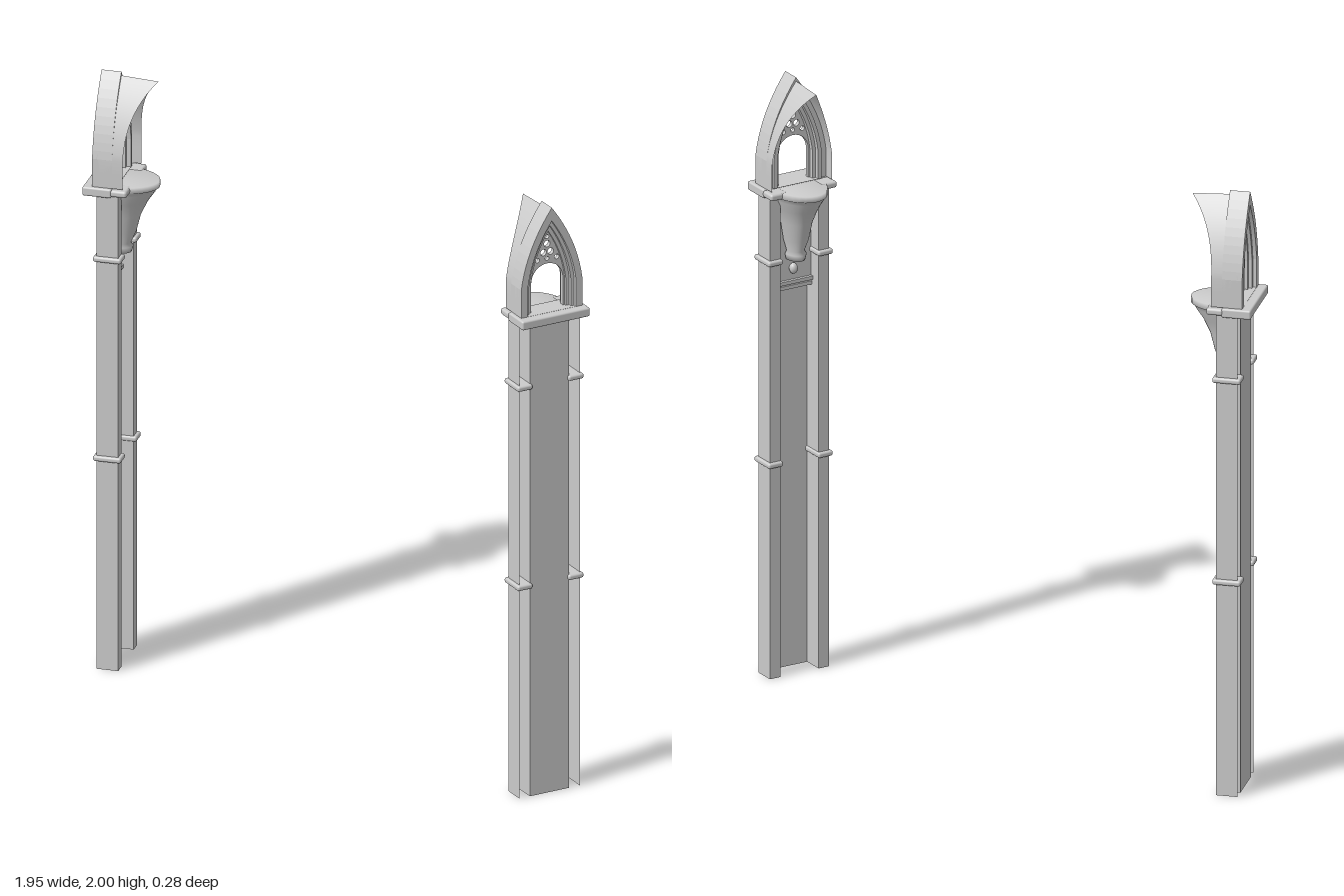
import * as THREE from 'three';
import { mergeGeometries } from 'three/addons/utils/BufferGeometryUtils.js';
import { RoundedBoxGeometry } from 'three/addons/geometries/RoundedBoxGeometry.js';

const mat = new THREE.MeshStandardMaterial({ color: 0xcccccc, side: THREE.DoubleSide });
const BASE = 1.645; // top of the ledge, where the arch stands

function add(parent, name, geometry, x = 0, y = 0, z = 0) {
  const mesh = new THREE.Mesh(geometry, mat);
  mesh.name = name;
  mesh.position.set(x, y, z);
  parent.add(mesh);
  return mesh;
}

// Box given by its ranges
function block(parent, name, x0, x1, y0, y1, z0, z1, round = 0) {
  const size = [x1 - x0, y1 - y0, z1 - z0];
  const geo = round ? new RoundedBoxGeometry(...size, 2, round) : new THREE.BoxGeometry(...size);
  return add(parent, name, geo, (x0 + x1) / 2, (y0 + y1) / 2, (z0 + z1) / 2);
}

// Upright sheet that follows a folded floor plan of [x, z] points
function foldedSheet(plan, y0, y1) {
  const walls = [];
  for (let i = 0; i < plan.length - 1; i++) {
    const [ax, az] = plan[i], [bx, bz] = plan[i + 1];
    const wall = new THREE.PlaneGeometry(Math.hypot(bx - ax, bz - az), y1 - y0);
    wall.rotateY(Math.atan2(az - bz, bx - ax));
    wall.translate((ax + bx) / 2, (y0 + y1) / 2, (az + bz) / 2);
    walls.push(wall);
  }
  return mergeGeometries(walls);
}

// Pointed arch outline
function pointedArch(w, apex, Type = THREE.Shape, base = BASE) {
  const spring = 1.74, mid = spring + (apex - spring) * 0.52;
  const s = new Type();
  s.moveTo(-w, base);
  s.lineTo(w, base);
  s.lineTo(w, spring);
  s.quadraticCurveTo(w * 0.84, mid, 0, apex);
  s.quadraticCurveTo(-w * 0.84, mid, -w, spring);
  s.closePath();
  return s;
}

function extrude(shape, z0, z1) {
  const geo = new THREE.ExtrudeGeometry(shape, { depth: z1 - z0, bevelEnabled: false, curveSegments: 10 });
  return geo.translate(0, 0, z0);
}

function archFrame(wOut, apexOut, wIn, apexIn, z0, z1) {
  const shape = pointedArch(wOut, apexOut);
  shape.holes.push(pointedArch(wIn, apexIn, THREE.Path, BASE + 0.0005));
  return extrude(shape, z0, z1);
}

// Plate pierced by a round-headed opening and small lights above it
function traceryGeometry() {
  const shape = pointedArch(0.068, 1.925);
  const door = new THREE.Path();
  door.moveTo(-0.057, BASE + 0.0005);
  door.lineTo(0.057, BASE + 0.0005);
  door.lineTo(0.057, 1.742);
  door.absarc(0, 1.742, 0.057, 0, Math.PI, false);
  door.closePath();
  shape.holes.push(door);
  const lights = [[0, 1.866, 0.011], [-0.013, 1.838, 0.011], [0.013, 1.838, 0.011], [0, 1.89, 0.007],
    [-0.035, 1.815, 0.008], [0.035, 1.815, 0.008], [0, 1.816, 0.007]];
  for (const [x, y, r] of lights) {
    const p = new THREE.Path();
    p.absarc(x, y, r, 0, Math.PI * 2, true);
    shape.holes.push(p);
  }
  return extrude(shape, -0.03, -0.016);
}

// Half of the vault: runs inwards from the arch and lengthens towards the crown
function vaultHalf(side) {
  const n = 14, rows = 8, geo = new THREE.PlaneGeometry(1, 1, rows, n), p = geo.attributes.position;
  const curve = new THREE.QuadraticBezierCurve(new THREE.Vector2(0.11, 1.74),
    new THREE.Vector2(0.0924, 1.872), new THREE.Vector2(0, 1.99));
  for (let i = 0; i <= n; i++) {
    const pt = i < 2 ? new THREE.Vector2(0.11, BASE + i * 0.05) : curve.getPoint((i - 2) / (n - 2));
    const end = -0.085 - 0.086 * Math.pow(1 - pt.x / 0.11, 1.5);
    for (let j = 0; j <= rows; j++) {
      p.setXYZ(i * (rows + 1) + j, side * pt.x, pt.y - 0.01 * j / rows * i / n, end * j / rows);
    }
  }
  // keep the front of both halves on the outside
  if (side > 0) {
    const idx = geo.index;
    for (let k = 0; k < idx.count; k += 3) {
      const a = idx.getX(k);
      idx.setX(k, idx.getX(k + 1));
      idx.setX(k + 1, a);
    }
  }
  geo.computeVertexNormals();
  return geo;
}

// One pillar: local z points outwards, z = 0 is the plane of the panel
function createPillar() {
  const g = new THREE.Group();
  g.name = 'pillar';
  const W = 0.109, F = 0.071, D = -0.07;

  // shaft: a flat panel between two channels that are open outwards
  add(g, 'shaft', foldedSheet([[-W, 0], [-W, D], [-F, D], [-F, 0], [F, 0], [F, D], [W, D], [W, 0]], 0, 1.62));

  // bands round each channel, and wider collars under the ledge
  for (const s of [-1, 1]) {
    const xa = Math.min(s * (F - 0.006), s * (W + 0.01)), xb = Math.max(s * (F - 0.006), s * (W + 0.01));
    for (const y of [0.72, 1.4]) block(g, 'shaftBand', xa, xb, y - 0.009, y + 0.009, D - 0.011, 0.011, 0.007);
    const ca = Math.min(s * (F - 0.008), s * 0.122), cb = Math.max(s * (F - 0.008), s * 0.122);
    block(g, 'collar', ca, cb, 1.62, 1.642, -0.1, -0.045, 0.008);
  }

  // ledge that carries the arch
  block(g, 'ledge', -0.122, 0.122, 1.615, BASE, -0.05, 0.045, 0.006);

  // backing and sill behind the corbel
  block(g, 'corbelBacking', -F, F, 1.31, 1.62, -0.025, -0.001);
  block(g, 'sillUpper', -F, F, 1.3, 1.312, -0.036, -0.001);
  block(g, 'sillLower', -F, F, 1.282, 1.294, -0.03, -0.001);

  // half-round corbel with a pendant below
  const profile = [[0.001, 1.385], [0.03, 1.39], [0.034, 1.41], [0.028, 1.42], [0.04, 1.46], [0.05, 1.52],
    [0.066, 1.57], [0.082, 1.605], [0.082, 1.615], [0.091, 1.62], [0.091, 1.64], [0.001, 1.642]];
  const corbelGeo = new THREE.LatheGeometry(profile.map(([r, y]) => new THREE.Vector2(r, y)), 16, Math.PI / 2, Math.PI);
  const corbel = add(g, 'corbel', corbelGeo, 0, 0, -0.038);
  corbel.scale.z = 1.5;
  const pendant = add(g, 'pendant', new THREE.SphereGeometry(0.014, 10, 8), 0, 1.352, -0.034);
  pendant.scale.y = 1.3;

  // stepped arch with tracery
  add(g, 'outerArch', archFrame(0.11, 2.0, 0.087, 1.955, -0.05, 0.015));
  add(g, 'middleArch', archFrame(0.088, 1.958, 0.075, 1.935, -0.06, 0.003));
  add(g, 'innerArch', archFrame(0.076, 1.937, 0.063, 1.912, -0.045, -0.008));
  add(g, 'tracery', traceryGeometry());

  for (const s of [-1, 1]) add(g, 'vault', vaultHalf(s));
  return g;
}

export function createModel() {
  const model = new THREE.Group();
  model.name = 'pillarPair';
  for (const s of [-1, 1]) {
    const pillar = createPillar();
    pillar.name = s > 0 ? 'leftPillar' : 'rightPillar';
    pillar.position.set(s * 0.888, 0, 0.013);
    pillar.rotation.y = s * Math.PI * 0.375;
    model.add(pillar);
  }
  return model;
}
